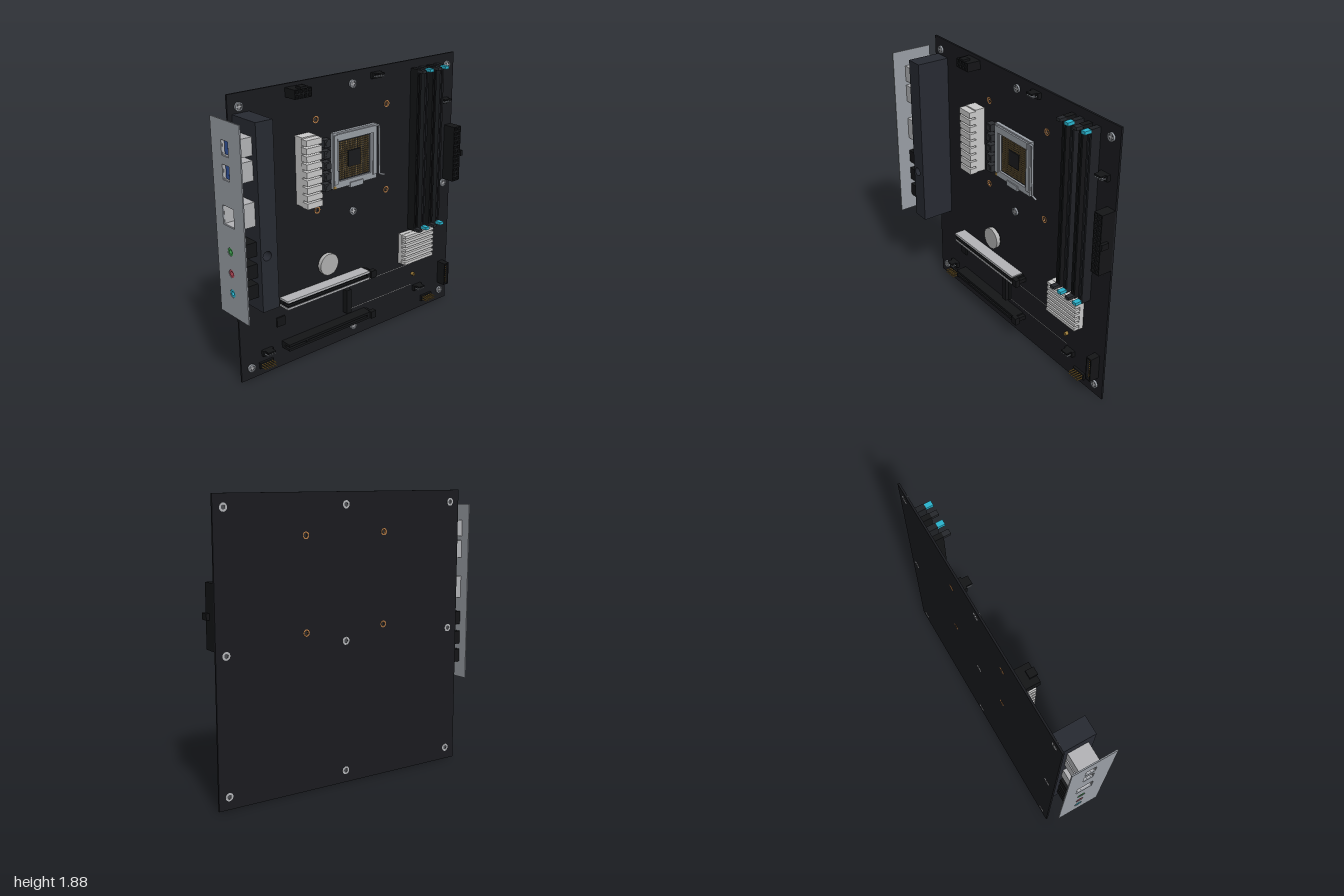
import * as THREE from 'three';
import { mergeGeometries } from 'three/addons/utils/BufferGeometryUtils.js';

const BACK = -0.145, F = -0.132; // board back and front faces
const C = { board: 0x1a1b1f, cover: 0x272a32, black: 0x141517, dark: 0x23252a, steel: 0x9a9fa6,
  silver: 0xb4b5b8, gold: 0x9a7a3a, copper: 0xb87f4a, cyan: 0x2ab5cf };
const mats = {};
const mat = (color) => (mats[color] ??= new THREE.MeshStandardMaterial({ color }));

// Box geometry from its limits
function bg(x0, x1, y0, y1, z0, z1) {
  return new THREE.BoxGeometry(x1 - x0, y1 - y0, z1 - z0).translate((x0 + x1) / 2, (y0 + y1) / 2, (z0 + z1) / 2);
}
// Cylinder or tube standing along z
function disc(x, y, r, z0, z1, seg = 24) {
  return new THREE.CylinderGeometry(r, r, z1 - z0, seg).rotateX(Math.PI / 2).translate(x, y, (z0 + z1) / 2);
}
function rectPath(x0, x1, y0, y1, Type = THREE.Shape) {
  const p = new Type();
  p.moveTo(x0, y0); p.lineTo(x1, y0); p.lineTo(x1, y1); p.lineTo(x0, y1); p.closePath();
  return p;
}
function circle(x, y, r, Type = THREE.Path) {
  const p = new Type();
  p.absarc(x, y, r, 0, Math.PI * 2, false);
  return p;
}
function plate(shape, holes, z0, z1) {
  shape.holes.push(...holes);
  return new THREE.ExtrudeGeometry(shape, { depth: z1 - z0, bevelEnabled: false, curveSegments: 12 }).translate(0, 0, z0);
}
const ring = (x, y, ro, ri, z0, z1) => plate(circle(x, y, ro, THREE.Shape), [circle(x, y, ri)], z0, z1);

export function createModel() {
  const root = new THREE.Group();
  const add = (name, geo, color) => {
    const list = (Array.isArray(geo) ? geo : [geo]).map((g) => (g.index ? g.toNonIndexed() : g));
    const m = new THREE.Mesh(list.length > 1 ? mergeGeometries(list) : list[0], mat(color));
    m.name = name;
    root.add(m);
    return m;
  };

  // Circuit board with mounting and cooler holes
  const mounts = [], cooler = [];
  for (const x of [-0.815, 0.05, 0.91]) for (const y of [0.08, 0.94, 1.8]) mounts.push([x, y]);
  for (const x of [-0.25, 0.35]) for (const y of [1.02, 1.62]) cooler.push([x, y]);
  add('circuitBoard', plate(rectPath(-0.89, 0.98, 0, 1.88),
    [...mounts.map(([x, y]) => circle(x, y, 0.014)), ...cooler.map(([x, y]) => circle(x, y, 0.014))], BACK, F), C.board);
  add('coolerHoleRings', cooler.map(([x, y]) => ring(x, y, 0.023, 0.014, BACK - 0.001, F + 0.002)), C.copper);
  add('mountPads', mounts.map(([x, y]) => ring(x, y, 0.026, 0.014, BACK - 0.001, F + 0.001)), C.silver);
  add('screwHeads', mounts.map(([x, y]) => ring(x, y, 0.027, 0.02, F, F + 0.013)), C.steel);
  add('screwCores', mounts.map(([x, y]) => disc(x, y, 0.02, BACK + 0.004, F + 0.008)), 0x4a4c50);
  add('screwCrosses', mounts.flatMap(([x, y]) => [
    bg(x - 0.017, x + 0.017, y - 0.004, y + 0.004, F, F + 0.01),
    bg(x - 0.004, x + 0.004, y - 0.017, y + 0.017, F, F + 0.01)]), C.silver);

  // Rear port cover with a screw access hole
  add('portCover', plate(rectPath(-0.86, -0.74, 0.58, 1.76), [circle(-0.815, 0.94, 0.03)], F, 0.097), C.cover);

  // Port shield, drawn in (z, y) and turned to face -x
  const usb = [1.615, 1.47], jacks = [[0.985, 0x3c9a4c], [0.845, 0xb84a5a], [0.715, C.cyan]], pz = -0.01;
  const shieldHoles = [...usb.map((y) => rectPath(pz - 0.034, pz + 0.034, y - 0.046, y + 0.046, THREE.Path)),
    rectPath(pz - 0.055, pz + 0.055, 1.145, 1.265, THREE.Path), ...jacks.map(([y]) => circle(pz, y, 0.027))];
  add('portShield', plate(rectPath(-0.145, 0.145, 0.56, 1.78), shieldHoles, 0, 0.008)
    .rotateY(-Math.PI / 2).translate(-0.992, 0, 0), C.steel);
  // Hollow port shells behind the shield
  const shell = (y0, y1, hole) => plate(rectPath(-0.08, 0.055, y0, y1), [hole], 0, 0.08)
    .rotateY(-Math.PI / 2).translate(-0.912, 0, 0);
  const metal = [[1.56, 1.67, 0.032, 0.044], [1.41, 1.53, 0.032, 0.044], [1.13, 1.28, 0.053, 0.058]];
  add('metalPorts', metal.flatMap(([a, b, w, h]) => {
    const m = (a + b) / 2;
    return [shell(a, b, rectPath(pz - w, pz + w, m - h, m + h, THREE.Path)), bg(-0.912, -0.86, a, b, -0.08, 0.055)];
  }), C.silver);
  add('usbTongues', usb.map((y) => bg(-0.985, -0.91, y - 0.04, y + 0.04, pz - 0.022, pz + 0.01)), 0x3355a0);
  add('audioPorts', jacks.flatMap(([y]) => [shell(y - 0.045, y + 0.045, circle(pz, y, 0.024)),
    bg(-0.912, -0.86, y - 0.045, y + 0.045, -0.08, 0.055)]), C.black);
  for (const [y, color] of jacks)
    add('audioJackRing', ring(0, 0, 0.026, 0.013, 0, 0.02).rotateY(-Math.PI / 2).translate(-0.978, y, pz), color);

  // Voltage regulator heatsink and chokes
  const vrm = [bg(-0.415, -0.305, 1.1, 1.55, F, -0.06)];
  for (let i = 0; i < 9; i++) vrm.push(bg(-0.42, -0.3, 1.098 + i * 0.0507, 1.137 + i * 0.0507, -0.065, -0.012));
  add('regulatorHeatsink', vrm, 0xc8c8ca);
  const chokes = [];
  for (let i = 0; i < 5; i++) {
    const y = 1.172 + i * 0.073;
    chokes.push(bg(-0.22, -0.168, y - 0.025, y + 0.025, F, -0.085), disc(-0.194, y, 0.018, -0.085, -0.082, 16));
  }
  add('chokes', chokes, 0x2b2d31);

  // Processor socket: base, pin field, frame and lever
  add('socketBase', bg(-0.12, 0.22, 1.15, 1.5, F, -0.115), 0x1c1d20);
  add('socketFrame', [plate(rectPath(-0.14, 0.235, 1.14, 1.515), [rectPath(-0.09, 0.185, 1.185, 1.455, THREE.Path)], -0.125, -0.1),
    bg(-0.11, 0.21, 1.46, 1.505, -0.1, -0.088), bg(-0.135, -0.105, 1.17, 1.5, -0.1, -0.092),
    bg(0.2, 0.23, 1.17, 1.5, -0.1, -0.092), bg(0.0, 0.11, 1.125, 1.16, -0.12, -0.092)], C.steel);
  const pins = [];
  for (let i = 0; i < 18; i++) for (let j = 0; j < 18; j++) {
    if (Math.abs(i - 8.5) < 4 && Math.abs(j - 8.5) < 4) continue;
    const x = -0.072 + i * 0.0141, y = 1.2 + j * 0.0141;
    pins.push(bg(x - 0.0045, x + 0.0045, y - 0.0045, y + 0.0045, -0.115, -0.111));
  }
  add('socketPins', pins, 0x6f5c38);
  add('socketCentre', bg(-0.005, 0.1, 1.267, 1.372, -0.115, -0.109), 0x1a1b1d);
  const lever = new THREE.CurvePath();
  const lp = [[0.225, 1.5], [0.255, 1.5], [0.262, 1.16], [0.305, 1.147]].map(([x, y]) => new THREE.Vector3(x, y, -0.1));
  for (let i = 0; i < 3; i++) lever.add(new THREE.LineCurve3(lp[i], lp[i + 1]));
  add('socketLever', new THREE.TubeGeometry(lever, 48, 0.007, 8), C.steel);
  add('socketCorner', bg(-0.138, -0.118, 1.14, 1.16, -0.1, -0.098), C.gold);

  // Memory slots with latches, alternating colours
  [0.585, 0.655, 0.73, 0.8].forEach((x, i) => {
    add('memorySlot', [bg(x - 0.018, x - 0.005, 0.69, 1.8, F, -0.065), bg(x + 0.005, x + 0.018, 0.69, 1.8, F, -0.065),
      bg(x - 0.005, x + 0.005, 0.69, 1.8, F, -0.1), bg(x - 0.018, x + 0.018, 0.67, 0.7, F, -0.065),
      bg(x - 0.018, x + 0.018, 1.79, 1.825, F, -0.065), bg(x - 0.005, x + 0.005, 1.2, 1.215, F, -0.07)], i % 2 ? 0x1f2125 : C.black);
    add('memoryLatch', [bg(x - 0.017, x + 0.017, 0.672, 0.692, -0.09, -0.018),
      bg(x - 0.017, x + 0.017, 1.803, 1.823, -0.09, -0.018)], i % 2 ? C.cyan : 0x26282c);
  });

  // Power connectors: socket shell with a grid of open cells and a clip
  function power(name, x0, x1, y0, y1, nx, ny, top) {
    const holes = [], dx = (x1 - x0) / nx, dy = (y1 - y0) / ny;
    for (let i = 0; i < nx; i++) for (let j = 0; j < ny; j++)
      holes.push(rectPath(x0 + (i + 0.18) * dx, x0 + (i + 0.82) * dx, y0 + (j + 0.18) * dy, y0 + (j + 0.82) * dy, THREE.Path));
    add(name, [plate(rectPath(x0, x1, y0, y1), holes, -0.11, top), bg(x0, x1, y0, y1, F, -0.11)], C.black);
  }
  power('mainPower', 0.912, 0.98, 0.97, 1.37, 2, 12, -0.035);
  add('mainPowerClip', bg(0.98, 1.0, 1.15, 1.19, -0.08, -0.028), C.black);
  power('processorPower', -0.48, -0.35, 1.8, 1.858, 4, 2, -0.035);
  add('processorPowerClip', bg(-0.44, -0.39, 1.858, 1.872, -0.08, -0.028), C.black);

  // Chipset heatsink
  const chip = [bg(0.48, 0.765, 0.43, 0.655, F, -0.1)];
  for (let i = 0; i < 7; i++) chip.push(bg(0.482, 0.763, 0.431 + i * 0.0335, 0.452 + i * 0.0335, -0.1, -0.063));
  add('chipsetHeatsink', chip, 0xc4c5c7);

  // Coin battery and its holder
  add('batteryHolder', disc(-0.185, 0.63, 0.066, F, -0.12, 32), C.black);
  add('battery', disc(-0.185, 0.63, 0.075, -0.122, -0.093, 40), 0xb2b2b2);

  // Expansion slots; the upper one has metal armour
  [0.47, 0.16].forEach((y, i) => {
    const s = [bg(-0.565, 0.13, y - 0.024, y - 0.007, F, -0.052), bg(-0.565, 0.13, y + 0.007, y + 0.024, F, -0.052),
      bg(-0.565, 0.13, y - 0.007, y + 0.007, F, -0.1), bg(-0.42, -0.405, y - 0.007, y + 0.007, F, -0.054),
      bg(0.115, 0.15, y - 0.024, y + 0.024, F, -0.052), bg(0.13, 0.175, y - 0.014, y + 0.014, F, -0.07),
      bg(0.14, 0.185, y - 0.026, y + 0.026, -0.075, -0.04)];
    add('expansionSlot', s, C.black);
    if (!i) add('slotArmour', [-1, 1].map((d) => bg(-0.57, 0.13, y + d * 0.024 - 0.007, y + d * 0.024 + 0.007, F, -0.049)), C.silver);
  });

  // Drive slot, outline and standoff
  add('driveConnector', [bg(-0.04, 0.005, 0.215, 0.39, F, -0.115), bg(-0.04, 0, 0.215, 0.39, -0.115, -0.09)], C.black);
  add('driveOutline', [0.217, 0.388].map((y) => bg(0.005, 0.62, y - 0.0015, y + 0.0015, F, F + 0.001)), 0x9a9a9a);
  add('driveStandoff', ring(0.622, 0.302, 0.013, 0.006, F, -0.11), C.gold);
  add('smallChip', bg(-0.605, -0.54, 0.3, 0.365, F, -0.122), C.black);

  // Fan headers: base, back wall and pins
  for (const [x, y] of [[0.245, 1.828], [0.88, 1.552], [-0.69, 0.155], [0.667, 0.185]]) {
    add('fanHeader', [bg(x - 0.04, x + 0.04, y - 0.02, y + 0.02, F, -0.108), bg(x - 0.028, x + 0.028, y + 0.01, y + 0.02, F, -0.07)], C.black);
    add('fanPins', [-1.5, -0.5, 0.5, 1.5].map((k) => bg(x + k * 0.018 - 0.003, x + k * 0.018 + 0.003, y - 0.006, y, -0.11, -0.075)), C.steel);
  }
  // Two-row pin headers
  for (const [x, y] of [[-0.7, 0.072], [0.765, 0.072]]) {
    add('pinHeader', bg(x - 0.053, x + 0.053, y - 0.021, y + 0.021, F, -0.115), C.black);
    const p = [];
    for (let i = -2; i <= 2; i++) for (const d of [-1, 1])
      p.push(bg(x + i * 0.02 - 0.003, x + i * 0.02 + 0.003, y + d * 0.01 - 0.003, y + d * 0.01 + 0.003, -0.115, -0.073));
    add('headerPins', p, C.gold);
  }
  // Shrouded front panel header
  add('panelHeader', [plate(rectPath(0.892, 0.938, 0.145, 0.318), [rectPath(0.9, 0.93, 0.153, 0.31, THREE.Path)], F, -0.062),
    bg(0.9, 0.93, 0.153, 0.31, F, -0.12)], C.black);
  const pp = [];
  for (let i = 0; i < 9; i++) for (const x of [0.908, 0.922])
    pp.push(bg(x - 0.0025, x + 0.0025, 0.162 + i * 0.0168, 0.167 + i * 0.0168, -0.12, -0.075));
  add('panelHeaderPins', pp, C.gold);
  return root;
}
